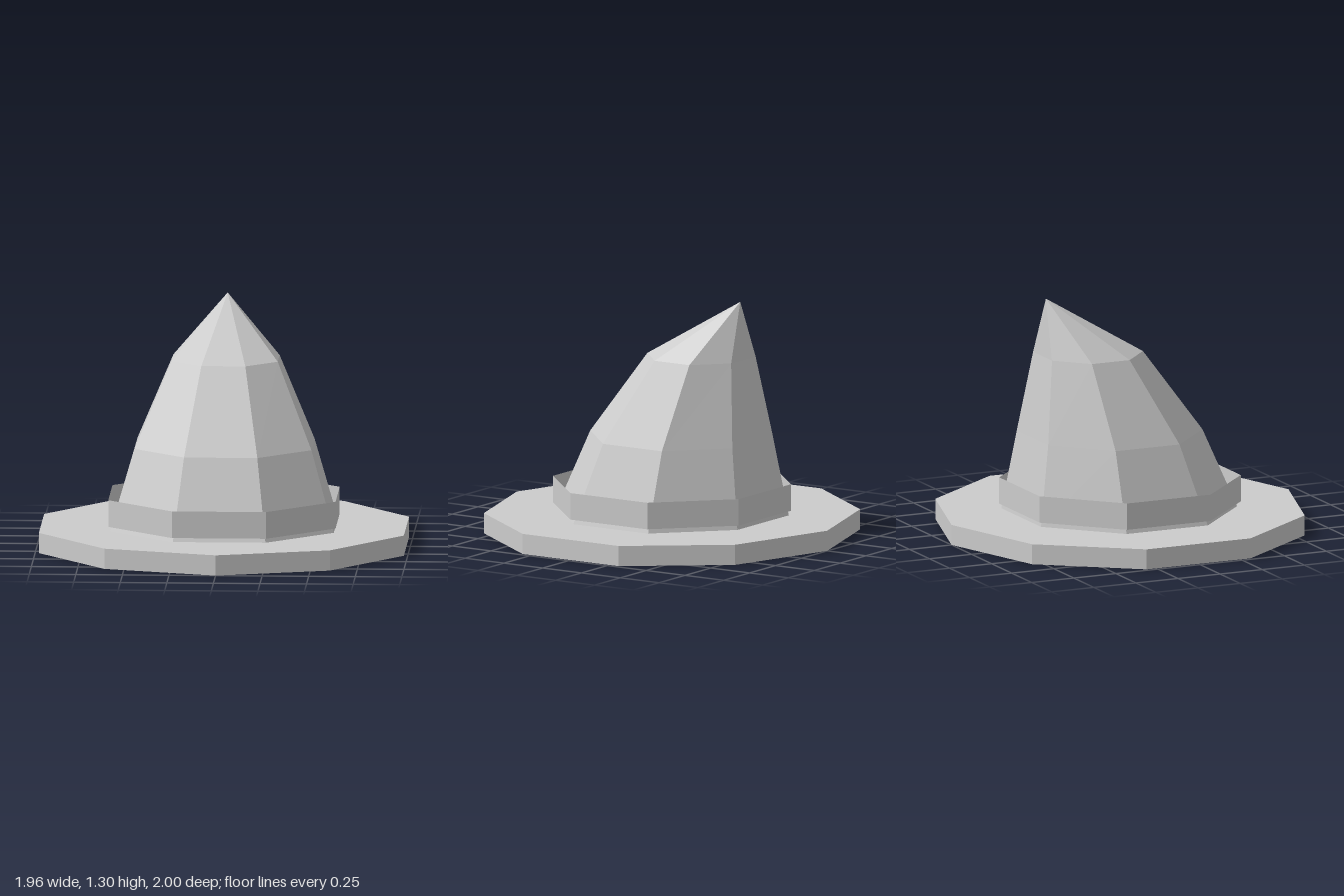
import * as THREE from 'three';

const SIDES = 8;
const grey = new THREE.MeshStandardMaterial({ color: 0xcccccc, flatShading: true });
grey.name = 'grey';
const greyOpen = new THREE.MeshStandardMaterial({ color: 0xcccccc, flatShading: true, side: THREE.DoubleSide });
greyOpen.name = 'grey open band';

// Octagonal ring with half widths hx, hz and its centre shifted to z
function ring({ y, z, hx, hz }) {
  const k = 1 / Math.cos(Math.PI / SIDES);
  return Array.from({ length: SIDES }, (_, i) => {
    const a = ((i + 0.5) / SIDES) * Math.PI * 2;
    return [Math.sin(a) * hx * k, y, z + Math.cos(a) * hz * k];
  });
}

// Skin between successive rings
function loft(sections) {
  const rings = sections.map(ring);
  const pos = [];
  for (let r = 0; r < rings.length - 1; r++) {
    const lo = rings[r], hi = rings[r + 1];
    for (let i = 0; i < SIDES; i++) {
      const j = (i + 1) % SIDES;
      pos.push(...lo[i], ...lo[j], ...hi[j]);
      if (sections[r + 1].hx > 0) pos.push(...lo[i], ...hi[j], ...hi[i]);
    }
  }
  const g = new THREE.BufferGeometry();
  g.setAttribute('position', new THREE.Float32BufferAttribute(pos, 3));
  g.computeVertexNormals();
  return g;
}

export function createModel() {
  const hat = new THREE.Group();
  hat.name = 'pointedHat';
  const add = (name, geometry, material) => {
    const mesh = new THREE.Mesh(geometry, material);
    mesh.name = name;
    hat.add(mesh);
  };

  // Ten-sided brim, slightly wider across x
  const brim = new THREE.CylinderGeometry(1, 1, 0.11, 10);
  brim.scale(1.03, 1, 1).translate(0, 0.055, 0);
  add('brim', brim, grey);

  // Crown leaning backwards to a point
  add('crown', loft([
    { y: 0.11, z: -0.005, hx: 0.6, hz: 0.582 },
    { y: 0.54, z: -0.062, hx: 0.475, hz: 0.458 },
    { y: 0.985, z: -0.19, hx: 0.285, hz: 0.27 },
    { y: 1.3, z: -0.44, hx: 0, hz: 0 },
  ]), grey);

  // Open band standing around the crown
  add('band', loft([
    { y: 0.135, z: 0, hx: 0.61, hz: 0.597 },
    { y: 0.28, z: 0, hx: 0.61, hz: 0.597 },
  ]), greyOpen);

  return hat;
}
